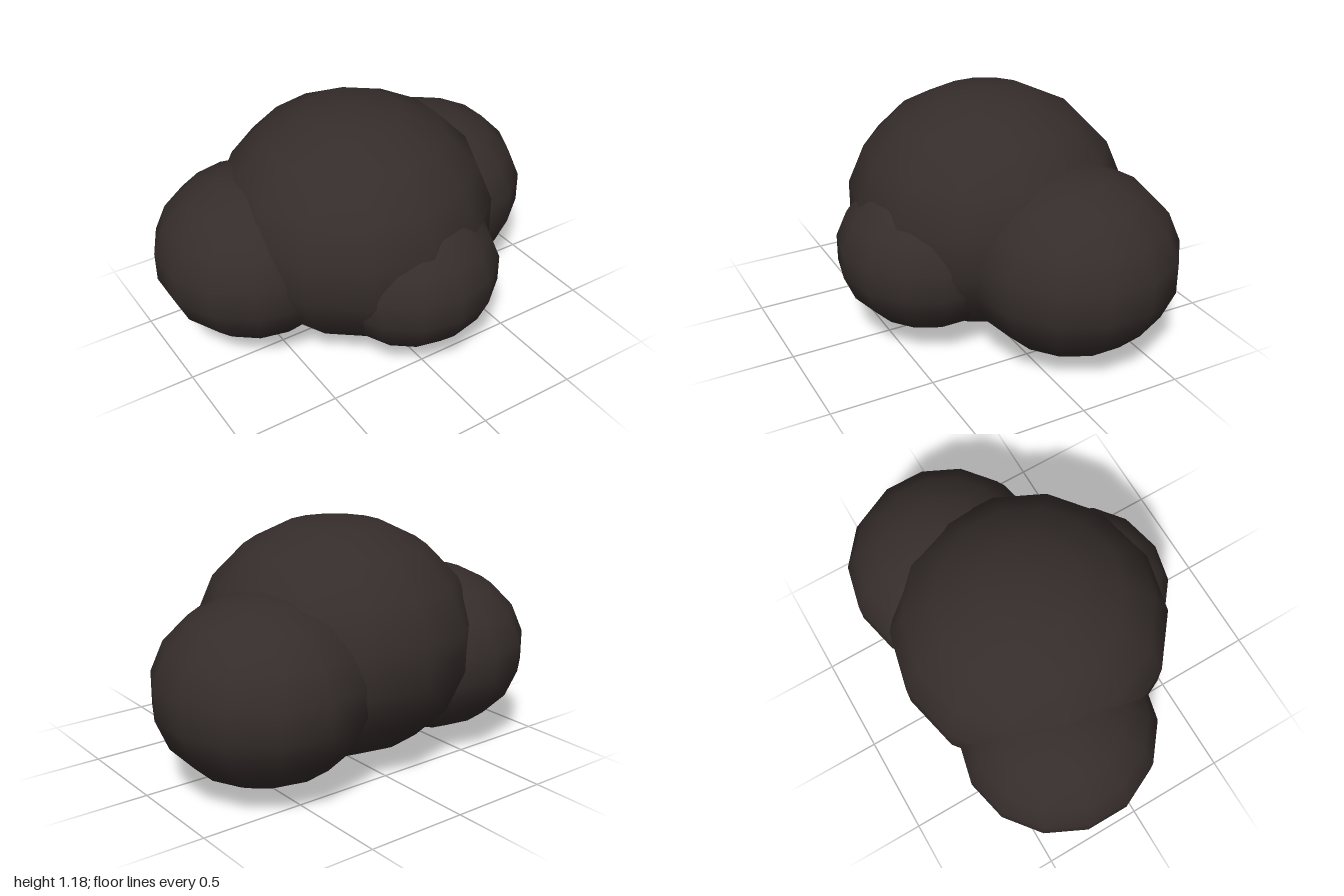
import * as THREE from 'three';

export function createModel() {
  const group = new THREE.Group();
  const material = new THREE.MeshStandardMaterial({ color: 0x352d2b });

  // One shared low-sided ball, turned so a column of vertices faces front and back
  const ball = new THREE.SphereGeometry(1, 14, 9).rotateY(Math.PI / 2);
  const flatten = 0.861;

  function puff(name, radius, x, y, z) {
    const mesh = new THREE.Mesh(ball, material);
    mesh.name = name;
    mesh.scale.set(radius, radius * flatten, radius);
    mesh.position.set(x, y, z);
    group.add(mesh);
  }

  // Large middle puff with three smaller ones pushed into it
  puff('mainPuff', 0.685, -0.035, 0.59, -0.06);
  puff('leftPuff', 0.516, 0.504, 0.477, -0.225);
  puff('rightPuff', 0.49, -0.53, 0.477, -0.193);
  puff('frontPuff', 0.441, 0.045, 0.45, 0.302);

  return group;
}
